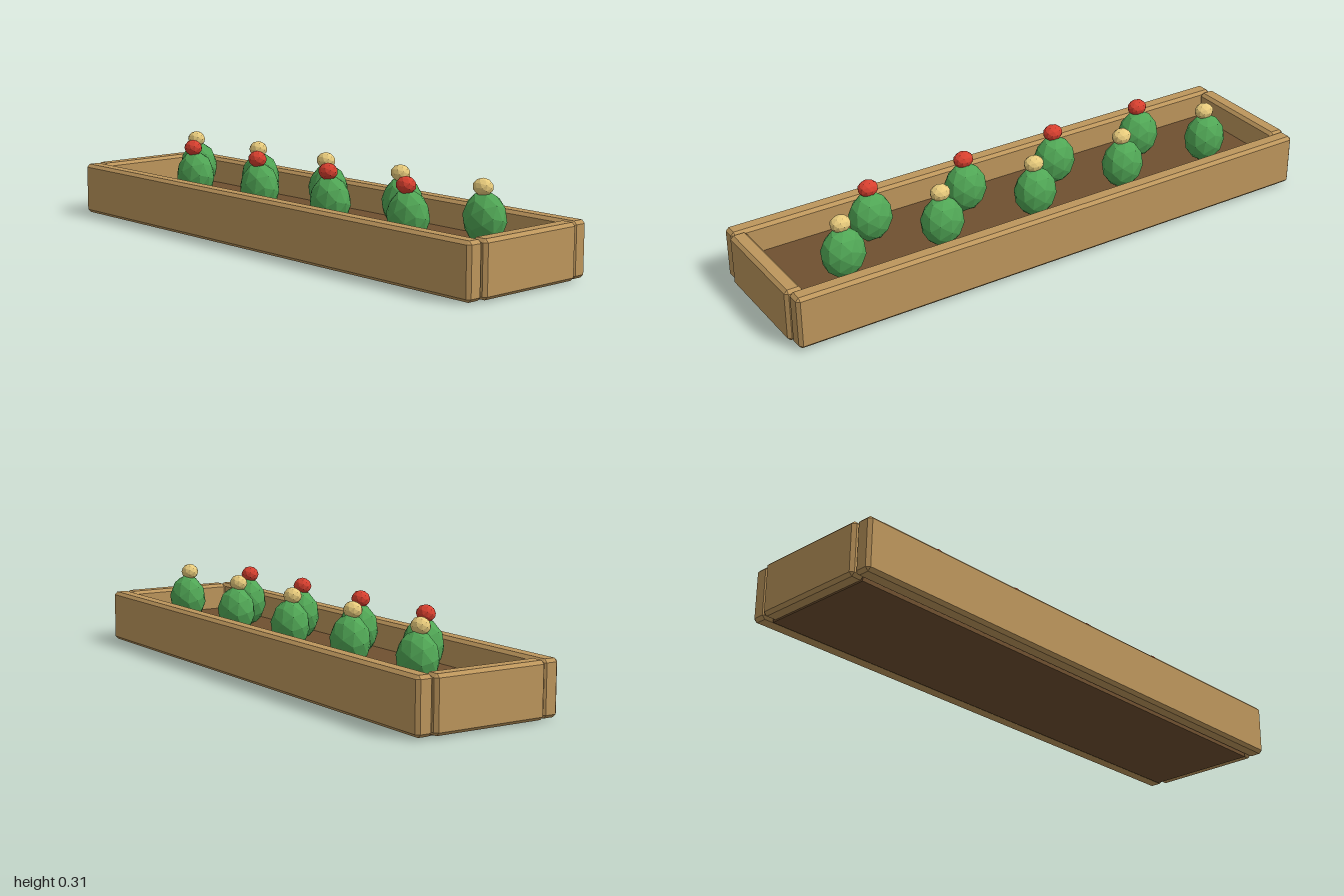
import * as THREE from 'three';
import { ConvexGeometry } from 'three/addons/geometries/ConvexGeometry.js';

const mat = (color) => new THREE.MeshStandardMaterial({ color, flatShading: true });

// Box with every edge bevelled, given by its full size and bevel width
function bevelBox(w, h, d, b) {
  const points = [];
  for (const sx of [-1, 1]) for (const sy of [-1, 1]) for (const sz of [-1, 1]) {
    const x = w / 2, y = h / 2, z = d / 2;
    points.push(
      new THREE.Vector3(sx * x, sy * (y - b), sz * (z - b)),
      new THREE.Vector3(sx * (x - b), sy * y, sz * (z - b)),
      new THREE.Vector3(sx * (x - b), sy * (y - b), sz * z));
  }
  return new ConvexGeometry(points);
}

// Faceted ball, tilted about x and then stretched to its radii
function facetedBall(rx, ry, rz, tilt) {
  return new THREE.IcosahedronGeometry(1, 1).rotateX(tilt).scale(rx, ry, rz);
}

export function createModel() {
  const root = new THREE.Group();
  root.name = 'cactusPlanter';

  const wood = mat(0xbd965c);
  const soilMat = mat(0x6f5030);
  const green = mat(0x50a655);
  const red = mat(0xd8402f);
  const yellow = mat(0xe8cb7c);

  function add(parent, name, geometry, material, x, y, z) {
    const mesh = new THREE.Mesh(geometry, material);
    mesh.name = name;
    mesh.position.set(x, y, z);
    parent.add(mesh);
  }

  // Four boards of the box
  const longBoard = bevelBox(1.98, 0.184, 0.06, 0.011);
  const endBoard = bevelBox(0.06, 0.184, 0.412, 0.011);
  for (const s of [1, -1]) {
    add(root, s > 0 ? 'frontBoard' : 'backBoard', longBoard, wood, 0, 0.098, s * 0.235);
    add(root, s > 0 ? 'leftEndBoard' : 'rightEndBoard', endBoard, wood, s * 0.97, 0.098, 0);
  }

  // Soil block, reaching just below the boards
  add(root, 'soil', new THREE.BoxGeometry(1.91, 0.095, 0.41), soilMat, 0, 0.0475, 0);

  // Cacti in two staggered rows, each with a bud on top
  const body = facetedBall(0.077, 0.088, 0.064, -0.2);
  const bud = facetedBall(0.036, 0.029, 0.03, Math.PI / 2);
  const rows = [
    { count: 5, z: -0.078, budMat: yellow },
    { count: 4, z: 0.078, budMat: red },
  ];
  for (const { count, z, budMat } of rows) {
    for (let i = 0; i < count; i++) {
      const cactus = new THREE.Group();
      cactus.name = 'cactus';
      cactus.position.set((i - (count - 1) / 2) * 0.367, 0, z);
      add(cactus, 'cactusBody', body, green, 0, 0.181, 0);
      add(cactus, 'cactusBud', bud, budMat, 0, 0.282, 0.01);
      root.add(cactus);
    }
  }
  return root;
}
